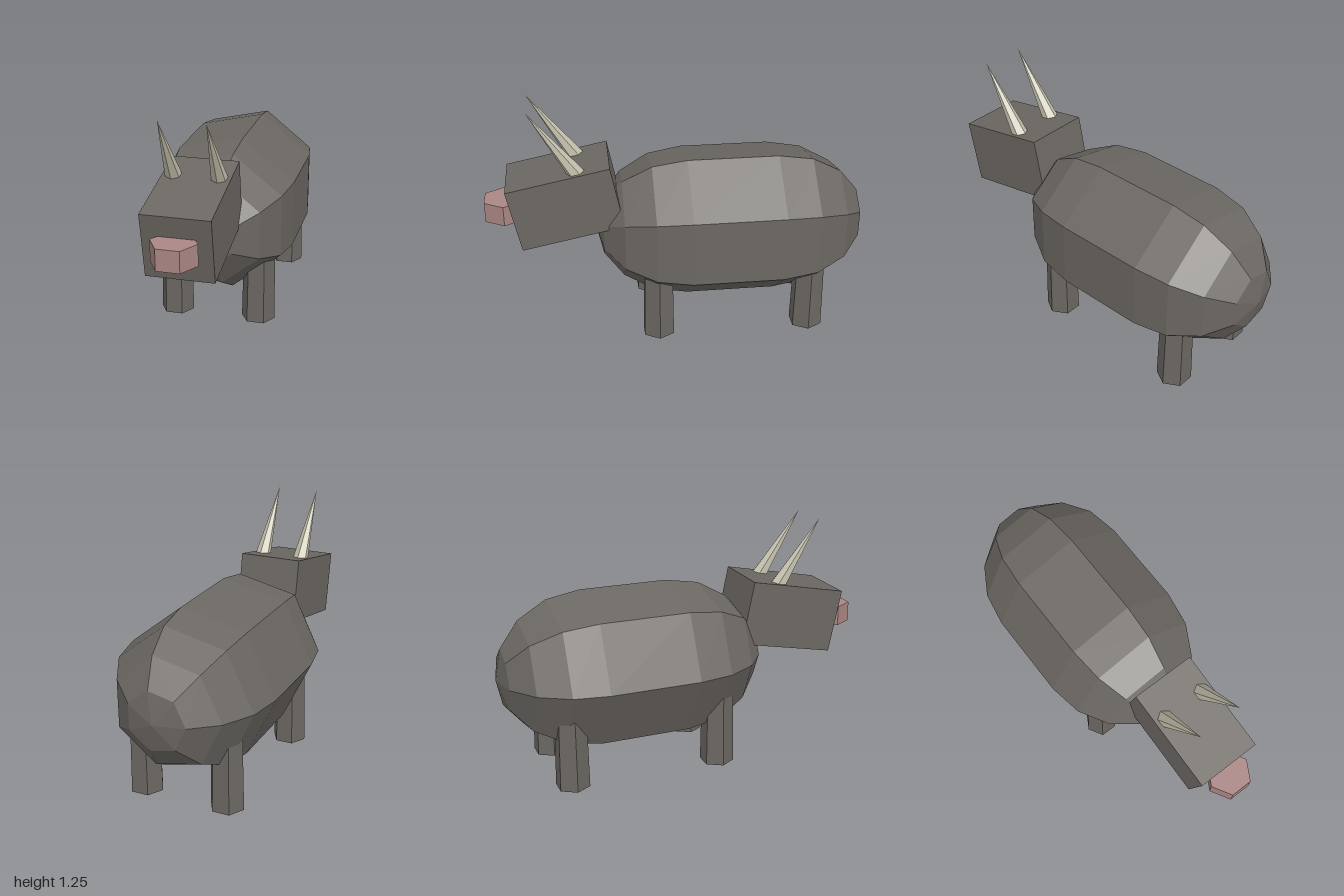
import * as THREE from 'three';

const CX = 0.02; // the animal's midline

export function createModel() {
  const group = new THREE.Group();
  const mat = (name, color) => {
    const m = new THREE.MeshStandardMaterial({ color, flatShading: true });
    m.name = name;
    return m;
  };
  const hide = mat('dark hide', 0x6b6762);
  const horn = mat('horn', 0xc4c0ac);
  const pink = mat('snout pink', 0xaa8684);

  const add = (name, geometry, material, x, y, z, rotX = 0) => {
    const mesh = new THREE.Mesh(geometry, material);
    mesh.name = name;
    mesh.position.set(x, y, z);
    mesh.rotation.x = rotX;
    group.add(mesh);
    return mesh;
  };

  // Seven-sided capsule body with stretched rounded ends, lying along z
  const radius = 0.41, cap = 0.478, half = 0.238, steps = 4;
  const profile = [];
  for (const end of [-1, 1]) {
    for (let i = 0; i <= steps; i++) {
      const k = end < 0 ? steps - i : i;
      const a = (k / steps) * Math.PI / 2;
      const r = k === steps ? 0 : radius * Math.cos(a);
      profile.push(new THREE.Vector2(r, end * (half + cap * Math.sin(a))));
    }
  }
  const bodyGeo = new THREE.LatheGeometry(profile, 7, -Math.PI / 2);
  bodyGeo.rotateX(Math.PI / 2);
  add('body', bodyGeo, hide, CX, 0.54, -0.285);

  // Head, nodding forward
  add('head', new THREE.BoxGeometry(0.34, 0.342, 0.54), hide, CX, 0.73, 0.585, 0.2);

  // Hexagonal snout
  const snoutGeo = new THREE.CylinderGeometry(0.114, 0.114, 0.108, 6);
  snoutGeo.rotateY(Math.PI / 6);
  add('snout', snoutGeo, pink, CX, 0.682, 0.901);

  // Horns, leaning forward from the top of the head
  const hornLength = 0.43, lean = 0.6;
  const hornGeo = new THREE.ConeGeometry(0.044, hornLength, 6);
  hornGeo.translate(0, -hornLength / 2, 0); // origin at the tip
  for (const side of [-1, 1]) {
    add(side > 0 ? 'leftHorn' : 'rightHorn', hornGeo, horn, CX + side * 0.114, 1.25, 0.755, lean);
  }

  // Four hexagonal legs, slightly wider at the foot
  const legHeight = 0.45;
  const legGeo = new THREE.CylinderGeometry(0.082, 0.09, legHeight, 6);
  legGeo.rotateY(Math.PI / 6);
  for (const side of [-1, 1]) {
    for (const [end, z] of [['Front', 0.122], ['Back', -0.682]]) {
      const name = (side > 0 ? 'left' : 'right') + end + 'Leg';
      add(name, legGeo, hide, CX + side * 0.225, legHeight / 2, z);
    }
  }
  return group;
}
